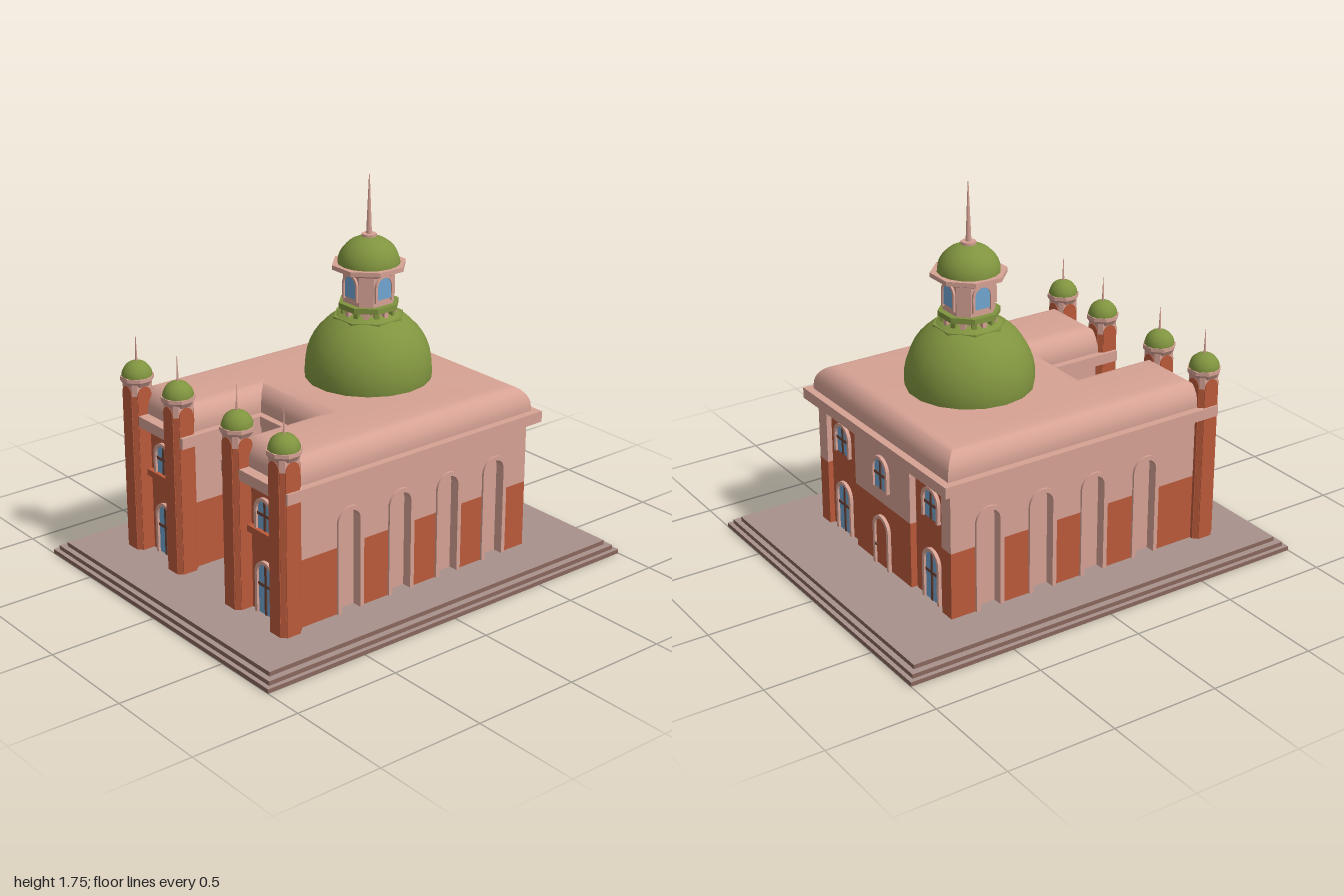
import * as THREE from 'three';
import { toCreasedNormals } from 'three/addons/utils/BufferGeometryUtils.js';

const mat = (name, color) => {
  const m = new THREE.MeshStandardMaterial({ color });
  m.name = name;
  return m;
};

export function createModel() {
  const pink = mat('pink stone', 0xd6a294);
  const brick = mat('terracotta', 0xba5a3b);
  const green = mat('dome green', 0x80943f);
  const blue = mat('window blue', 0x70a5d0);
  const brown = mat('dark brown', 0x6b4438);
  const taupe = mat('paving taupe', 0xa8918b);
  const riser = mat('step riser brown', 0x8a675d);

  const model = new THREE.Group();
  const add = (parent, name, geo, material, x = 0, y = 0, z = 0) => {
    const m = new THREE.Mesh(geo, material);
    m.name = name;
    m.position.set(x, y, z);
    parent.add(m);
    return m;
  };
  // box given by its limits
  const box = (parent, name, material, x0, x1, y0, y1, z0, z1) =>
    add(parent, name, new THREE.BoxGeometry(x1 - x0, y1 - y0, z1 - z0), material,
      (x0 + x1) / 2, (y0 + y1) / 2, (z0 + z1) / 2);
  const extrude = (shape, depth, opts = {}) => toCreasedNormals(
    new THREE.ExtrudeGeometry(shape, { depth, bevelEnabled: false, curveSegments: 10, ...opts }), 0.6);
  const octagon = (r0, r1, h) => // apothem radii, flat side to the front
    new THREE.CylinderGeometry(r1 / Math.cos(Math.PI / 8), r0 / Math.cos(Math.PI / 8), h, 8)
      .rotateY(Math.PI / 8).toNonIndexed();
  const oct = (parent, name, material, r0, r1, y0, y1) => {
    const g = octagon(r0, r1, y1 - y0);
    g.computeVertexNormals();
    return add(parent, name, g, material, 0, (y0 + y1) / 2, 0);
  };
  const lay = g => g.rotateX(-Math.PI / 2); // plan shape to upright prism

  // U-shaped plan with a forecourt at the front
  const plan = (x, back, front, nx, nz) => new THREE.Shape(
    [[-x, back], [x, back], [x, front], [nx, front], [nx, nz], [-nx, nz], [-nx, front], [-x, front]]
      .map(([a, b]) => new THREE.Vector2(a, -b)));
  // square plan with cut corners
  const cutSquare = (a, f) => new THREE.Shape(
    [[f, a], [-f, a], [-a, f], [-a, -f], [-f, -a], [f, -a], [a, -f], [a, f]]
      .map(([p, q]) => new THREE.Vector2(p, q)));
  const archShape = (w, h) => {
    const r = w / 2;
    return new THREE.Shape().moveTo(-r, 0).lineTo(r, 0).lineTo(r, h - r)
      .absarc(0, h - r, r, 0, Math.PI, false).lineTo(-r, 0);
  };
  const archFrame = (w, h, t) => {
    const R = w / 2, r = R - t;
    return new THREE.Shape().moveTo(-R, 0).lineTo(-R, h - R).absarc(0, h - R, R, Math.PI, 0, true)
      .lineTo(R, 0).lineTo(r, 0).lineTo(r, h - R).absarc(0, h - R, r, 0, Math.PI, false).lineTo(-r, 0);
  };

  // Stepped base
  [[0.81, 1, 0], [0.79, 0.98, 0.02], [0.76, 0.955, 0.04]].forEach(([x, z, y]) =>
    box(model, 'baseStep', [riser, riser, taupe, taupe, riser, riser], -x, x, y, y + 0.02, -z, z));

  // Walls: two-colour core
  const core = plan(0.51, -0.61, 0.66, 0.185, 0.275);
  add(model, 'lowerCoreWalls', lay(extrude(core, 0.31)), brick, 0, 0.06, 0);
  add(model, 'upperCoreWalls', lay(extrude(core, 0.34)), pink, 0, 0.37, 0);

  // Side walls with four arched niches each
  const niches = [0.37, 0.09, -0.18, -0.45];
  for (const s of [1, -1]) {
    const side = new THREE.Group();
    side.name = s > 0 ? 'leftSideWall' : 'rightSideWall';
    side.rotation.y = s * Math.PI / 2;
    side.position.x = s * 0.51;
    model.add(side);
    const centres = niches.map(z => -s * z).sort((a, b) => a - b);
    const [a, b] = s > 0 ? [-0.66, 0.64] : [-0.64, 0.66];
    const r = 0.06, spring = 0.475;
    const upper = new THREE.Shape().moveTo(a, 0.37);
    let start = a;
    for (const c of centres) {
      box(side, 'lowerSidePier', brick, start, c - r, 0.06, 0.37, 0, 0.04);
      start = c + r;
      upper.lineTo(c - r, 0.37).lineTo(c - r, spring).absarc(c, spring, r, Math.PI, 0, true).lineTo(c + r, 0.37);
      add(side, 'nicheFrame', extrude(archFrame(0.14, 0.485, 0.02), 0.05), pink, c, 0.06, 0);
      add(side, 'nicheBack', extrude(archShape(0.12, 0.475), 0.004), pink, c, 0.06, 0);
    }
    box(side, 'lowerSidePier', brick, start, b, 0.06, 0.37, 0, 0.04);
    upper.lineTo(b, 0.37).lineTo(b, 0.71).lineTo(a, 0.71).lineTo(a, 0.37);
    add(side, 'upperSideWall', extrude(upper, 0.04), pink);
  }

  // Arched window or door, facing +z
  const opening = (x, y, z, h, turn, door = false) => {
    const g = new THREE.Group();
    g.name = door ? 'door' : 'window';
    g.position.set(x, y, z);
    g.rotation.y = turn;
    model.add(g);
    add(g, 'openingFrame', extrude(archFrame(0.13, h, 0.015), 0.016), pink);
    add(g, door ? 'doorLeaf' : 'windowPane', extrude(archShape(0.102, h - 0.014), 0.005), door ? brick : blue);
    if (door) {
      add(g, 'doorKnob', new THREE.SphereGeometry(0.008, 8, 6), brown, -0.045, 0.095, 0.01);
    } else {
      box(g, 'mullion', brown, -0.007, 0.007, 0, h - 0.016, 0, 0.009);
      const bar = h > 0.2 ? 0.135 : 0.07;
      box(g, 'windowBar', brown, -0.05, 0.05, bar - 0.007, bar + 0.007, 0, 0.009);
    }
  };

  // Front and rear bays
  for (const s of [1, -1]) {
    const x = s * 0.37;
    box(model, 'frontBayWall', brick, x - 0.12, x + 0.12, 0.06, 0.66, 0.65, 0.67);
    box(model, 'frontBayLedge', brick, x - 0.12, x + 0.12, 0.42, 0.45, 0.66, 0.695);
    opening(x, 0.06, 0.67, 0.25, 0);
    opening(x, 0.45, 0.67, 0.15, 0);
    box(model, 'rearBayWall', brick, x - 0.13, x + 0.13, 0.06, 0.66, -0.615, -0.6);
    opening(x, 0.06, -0.615, 0.25, Math.PI);
    opening(x, 0.45, -0.615, 0.15, Math.PI);
    box(model, 'rearCornerPierLower', brick, s * 0.515 - 0.035, s * 0.515 + 0.035, 0.06, 0.37, -0.64, -0.6);
    box(model, 'rearCornerPierUpper', pink, s * 0.515 - 0.035, s * 0.515 + 0.035, 0.37, 0.68, -0.64, -0.6);
  }
  box(model, 'rearCentreLower', brick, -0.23, 0.23, 0.06, 0.37, -0.64, -0.6);
  box(model, 'rearCentreUpper', pink, -0.23, 0.23, 0.37, 0.68, -0.64, -0.6);
  [[0.275, 0], [-0.64, Math.PI]].forEach(([z, turn]) => {
    opening(0, 0.06, z, 0.25, turn, true);
    opening(0, 0.44, z, 0.16, turn);
  });

  // Cornice and rounded roof
  add(model, 'cornice', lay(extrude(plan(0.595, -0.69, 0.73, 0.14, 0.315), 0.05)), pink, 0, 0.66, 0);
  add(model, 'roof', lay(extrude(plan(0.56, -0.655, 0.68, 0.175, 0.283), 0.02, {
    bevelEnabled: true, bevelThickness: 0.1, bevelSize: 0.09, bevelOffset: -0.09, bevelSegments: 7,
  })), pink, 0, 0.71, 0);

  // Four front towers
  for (const x of [-0.53, -0.213, 0.213, 0.53]) {
    const t = new THREE.Group();
    t.name = 'tower';
    t.position.set(x, 0, 0.695);
    model.add(t);
    add(t, 'towerShaft', lay(extrude(cutSquare(0.053, 0.036), 0.74)), brick, 0, 0.06, 0);
    add(t, 'towerNeck', lay(extrude(cutSquare(0.053, 0.036), 0.06)), pink, 0, 0.8, 0);
    for (let i = 0; i < 4; i++) {
      const p = add(t, 'towerArchPanel', extrude(archShape(0.07, 0.78), 0.056), brick, 0, 0.06, 0);
      p.rotation.y = i * Math.PI / 2;
    }
    oct(t, 'towerFlare', pink, 0.054, 0.07, 0.84, 0.865);
    oct(t, 'towerCapital', pink, 0.07, 0.07, 0.865, 0.882);
    add(t, 'towerDome', new THREE.SphereGeometry(0.069, 12, 6, 0, Math.PI * 2, 0, Math.PI / 2), green, 0, 0.88, 0);
    add(t, 'towerSpire', new THREE.CylinderGeometry(0.001, 0.006, 0.12, 6), pink, 0, 1, 0);
  }

  // Great dome and lantern
  const d = new THREE.Group();
  d.name = 'greatDome';
  d.position.z = -0.185;
  model.add(d);
  add(d, 'domeShell', new THREE.SphereGeometry(0.287, 18, 12, 0, Math.PI * 2, 0, Math.PI * 0.56), green, 0, 0.87, 0);
  oct(d, 'lowerCollar', green, 0.148, 0.148, 1.095, 1.117);
  oct(d, 'collarCore', pink, 0.1, 0.1, 1.1, 1.2);
  for (let i = 0; i < 16; i++) {
    const a = i * Math.PI / 8;
    const post = box(d, 'collarPost', i % 2 ? green : pink, -0.011, 0.011, 1.11, 1.16, -0.011, 0.011);
    post.position.x = Math.sin(a) * 0.112;
    post.position.z = Math.cos(a) * 0.112;
    post.rotation.y = a;
  }
  oct(d, 'upperCollar', green, 0.127, 0.127, 1.155, 1.18);
  add(d, 'lanternDrum', lay(extrude(cutSquare(0.1, 0.055), 0.16)), pink, 0, 1.18, 0);
  for (let i = 0; i < 4; i++) {
    const g = new THREE.Group();
    g.name = 'lanternWindow';
    g.rotation.y = i * Math.PI / 2;
    d.add(g);
    add(g, 'lanternPane', extrude(archShape(0.08, 0.1), 0.004), blue, 0, 1.21, 0.1);
    add(g, 'lanternFrame', extrude(archFrame(0.1, 0.12, 0.011), 0.01), pink, 0, 1.2, 0.1);
  }
  oct(d, 'lanternFlare', pink, 0.105, 0.14, 1.312, 1.337);
  oct(d, 'lanternCornice', pink, 0.156, 0.156, 1.335, 1.355);
  const top = add(d, 'lanternDome',
    new THREE.SphereGeometry(0.139, 16, 8, 0, Math.PI * 2, 0, Math.PI / 2), green, 0, 1.352, 0);
  top.scale.y = 0.9;
  add(d, 'spireFoot', new THREE.CylinderGeometry(0.034, 0.034, 0.012, 8), pink, 0, 1.48, 0);
  add(d, 'spire', new THREE.CylinderGeometry(0.002, 0.013, 0.27, 8), pink, 0, 1.615, 0);
  return model;
}
